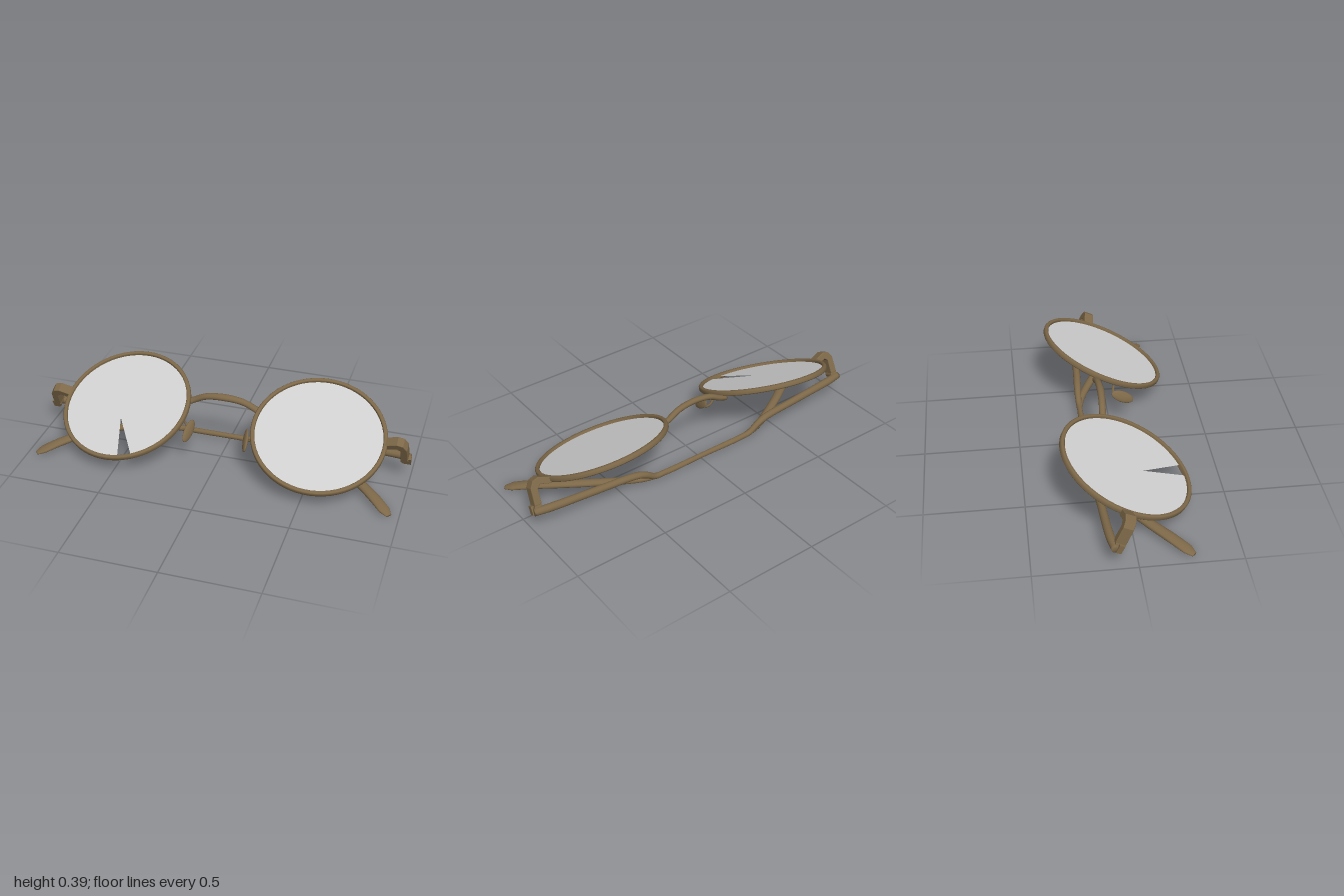
import * as THREE from 'three';

// Lofts an oval section along points [x, y, z, halfHeight, halfWidth], capped at both ends
function sweep(pts, steps = 60, sides = 12) {
  const curve = new THREE.CatmullRomCurve3(pts.map(p => new THREE.Vector3(p[0], p[1], p[2])));
  const up0 = new THREE.Vector3(0, 1, 0), pos = [], idx = [];
  for (let i = 0; i <= steps; i++) {
    const t = i / steps, k = t * (pts.length - 1);
    const j = Math.min(Math.floor(k), pts.length - 2), f = k - j;
    const rh = THREE.MathUtils.lerp(pts[j][3], pts[j + 1][3], f);
    const rw = THREE.MathUtils.lerp(pts[j][4], pts[j + 1][4], f);
    const c = curve.getPoint(t), T = curve.getTangent(t);
    const side = T.clone().cross(up0).normalize(), up = side.clone().cross(T);
    for (let n = 0; n < sides; n++) {
      const a = (n / sides) * Math.PI * 2;
      const v = c.clone().addScaledVector(side, Math.cos(a) * rw).addScaledVector(up, Math.sin(a) * rh);
      pos.push(v.x, v.y, v.z);
    }
  }
  for (let i = 0; i < steps; i++) for (let n = 0; n < sides; n++) {
    const a = i * sides + n, b = i * sides + (n + 1) % sides;
    idx.push(a, a + sides, b, b, a + sides, b + sides);
  }
  const last = steps * sides;
  for (let n = 1; n < sides - 1; n++) {
    idx.push(0, n, n + 1, last, last + n + 1, last + n);
  }
  const g = new THREE.BufferGeometry();
  g.setAttribute('position', new THREE.Float32BufferAttribute(pos, 3));
  g.setIndex(idx);
  g.computeVertexNormals();
  return g;
}

const mirror = (pts, s) => pts.map(([x, ...rest]) => [x * s, ...rest]);

export function createModel() {
  const metal = new THREE.MeshStandardMaterial({ name: 'bronze metal', color: 0x7d6848 });
  const glass = new THREE.MeshStandardMaterial({ name: 'grey glass', color: 0xcfcfcf, side: THREE.DoubleSide });
  const model = new THREE.Group();
  model.name = 'foldedEyeglasses';

  const add = (parent, name, geometry, material = metal) => {
    const m = new THREE.Mesh(geometry, material);
    m.name = name;
    parent.add(m);
    return m;
  };

  // Front frame, leaning back; its local y runs up the lenses, local z faces out of them
  const front = new THREE.Group();
  front.name = 'frontFrame';
  front.position.y = 0.235;
  front.rotation.x = THREE.MathUtils.degToRad(-65.3);
  model.add(front);

  // Rim section: a rounded band
  const rimProfile = [[0.330, -0.009], [0.334, -0.014], [0.347, -0.014], [0.352, -0.008],
    [0.352, 0.008], [0.347, 0.014], [0.334, 0.014], [0.330, 0.009], [0.330, -0.009]]
    .map(p => new THREE.Vector2(...p));

  for (const s of [1, -1]) {
    const word = s > 0 ? 'left' : 'right';

    // Rim and lens, wrapped slightly around the face
    const eye = new THREE.Group();
    eye.name = word + 'Eye';
    eye.position.x = s * 0.525;
    eye.rotation.y = s * 0.085;
    front.add(eye);
    add(eye, word + 'Rim', new THREE.LatheGeometry(rimProfile, 64).rotateX(Math.PI / 2));

    // The right lens has a narrow wedge missing near its lower edge
    const lens = new THREE.Shape();
    if (s > 0) lens.absarc(0, 0, 0.335, 0, Math.PI * 2, false);
    else {
      lens.absarc(0, 0, 0.335, -1.187, 4.876, false);
      lens.lineTo(-0.005, -0.09);
    }
    add(eye, word + 'Lens', new THREE.ShapeGeometry(lens, 64), glass);

    // End piece bending back from the rim to the hinge
    const outline = [[0.865, -0.018], [0.925, 0.004], [0.955, -0.004], [0.975, -0.035], [0.98, -0.12],
      [0.948, -0.12], [0.945, -0.045], [0.925, -0.028], [0.865, -0.046]]
      .map(([x, y]) => new THREE.Vector2(s * x, y));
    add(front, word + 'EndPiece', new THREE.ExtrudeGeometry(new THREE.Shape(outline), {
      depth: 0.046, bevelEnabled: true, bevelThickness: 0.004, bevelSize: 0.003, bevelSegments: 2,
    }).rotateX(Math.PI / 2).translate(0, 0.06, 0));

    // Hinge barrel and its plate
    add(front, word + 'HingeBarrel', new THREE.CylinderGeometry(0.02, 0.02, 0.05, 16))
      .position.set(s * 0.965, 0.035, -0.135);
    add(front, word + 'HingePlate', new THREE.BoxGeometry(0.035, 0.026, 0.045))
      .position.set(s * 0.98, 0.03, -0.145);

    // Nose pad on a thin curved arm
    add(front, word + 'PadArm', sweep(mirror([
      [0.205, -0.03, -0.005, 0.007, 0.007], [0.185, -0.04, -0.035, 0.006, 0.006],
      [0.165, -0.06, -0.045, 0.006, 0.006], [0.152, -0.085, -0.03, 0.006, 0.006]], s), 20, 8));
    const pad = add(front, word + 'NosePad', new THREE.SphereGeometry(1, 20, 12));
    pad.scale.set(0.011, 0.068, 0.03);
    pad.position.set(s * 0.155, -0.087, -0.025);
    pad.rotation.set(0, s * 0.5, s * 0.15);

    // Folded temple: flat bar, inward step, thin middle, then the curved ear tip
    add(model, word + 'Temple', sweep(mirror([
      [0.992, 0.118, -0.11, 0.02, 0.02], [0.9, 0.118, -0.125, 0.022, 0.022],
      [0.65, 0.108, -0.14, 0.02, 0.02], [0.42, 0.095, -0.152, 0.018, 0.02],
      [0.37, 0.078, -0.155, 0.017, 0.018], [0.31, 0.042, -0.155, 0.016, 0.016],
      [0.25, 0.037, -0.154, 0.015, 0.015], [0, 0.036, -0.153, 0.014, 0.014],
      [-0.28, 0.036, -0.152, 0.014, 0.015], [-0.38, 0.042, -0.132, 0.017, 0.02],
      [-0.6, 0.056, -0.025, 0.018, 0.024], [-0.75, 0.052, 0.08, 0.018, 0.027],
      [-0.85, 0.038, 0.17, 0.017, 0.031], [-0.92, 0.019, 0.238, 0.012, 0.032],
      [-0.95, 0.008, 0.267, 0.006, 0.016]], s), 112));
  }

  // Arched bridge
  add(front, 'bridge', sweep([
    [-0.205, 0.075, 0.0, 0.02, 0.014], [-0.165, 0.088, 0.015, 0.018, 0.015],
    [-0.1, 0.098, 0.045, 0.018, 0.016], [0, 0.1, 0.058, 0.02, 0.016],
    [0.1, 0.098, 0.045, 0.018, 0.016], [0.165, 0.088, 0.015, 0.018, 0.015],
    [0.205, 0.075, 0.0, 0.02, 0.014]], 40));

  return model;
}
